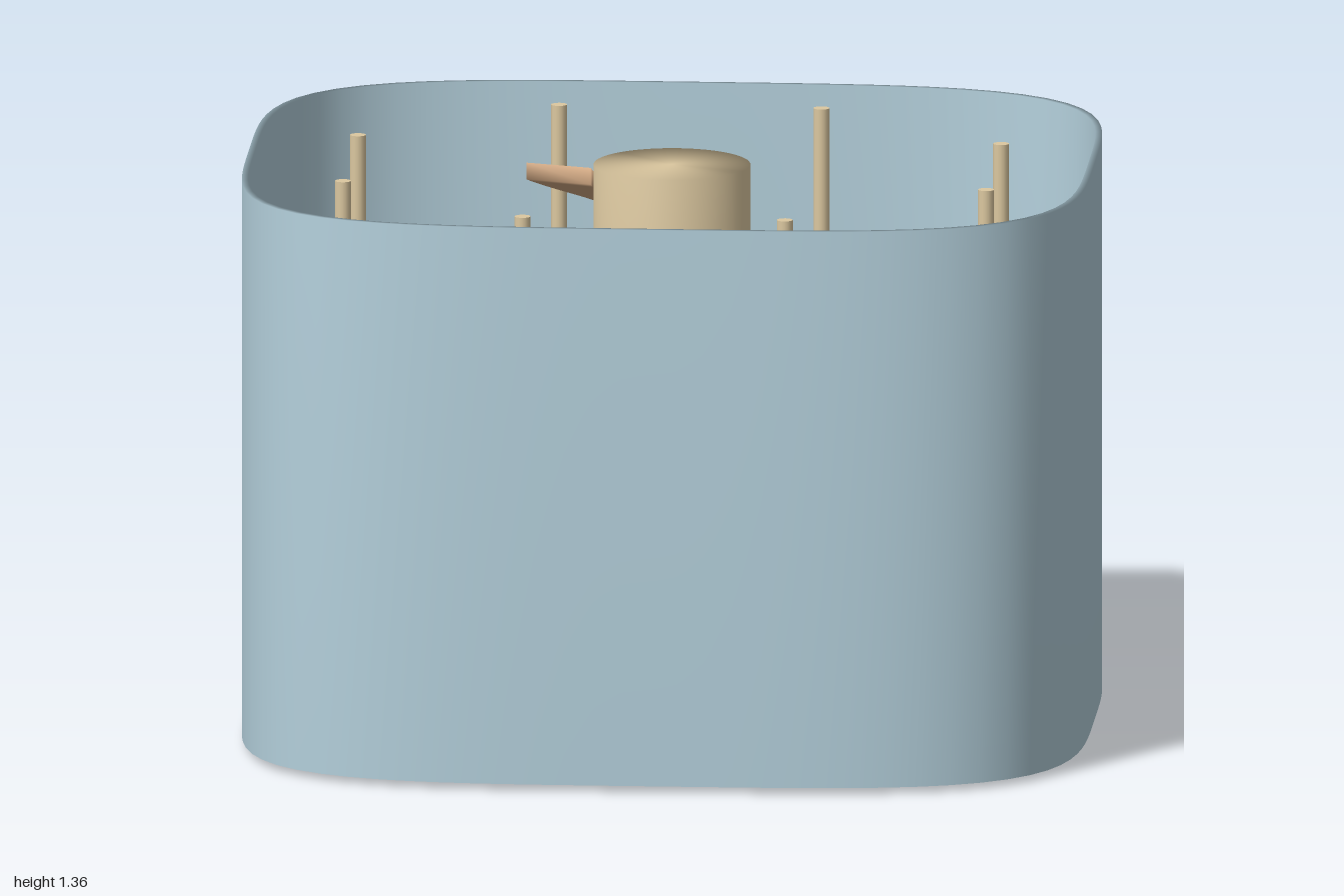
import * as THREE from 'three';

const mat = (name, color) => Object.assign(new THREE.MeshStandardMaterial({ color }), { name });

// Joins equal rows of [x, y, z] points into a smooth skin; closed rings or capped ends
function skin(rows, closed) {
  const n = rows[0].length, m = rows.length, index = [];
  for (let j = 0; j < (closed ? m : m - 1); j++) {
    for (let i = 0; i < n; i++) {
      const k = (i + 1) % n, r = j * n, s = ((j + 1) % m) * n;
      index.push(r + i, s + i, s + k, r + i, s + k, r + k);
    }
  }
  if (!closed) {
    const e = (m - 1) * n;
    index.push(0, 1, 2, 0, 2, 3, e, e + 2, e + 1, e, e + 3, e + 2);
  }
  const g = new THREE.BufferGeometry();
  g.setAttribute('position', new THREE.Float32BufferAttribute(rows.flat(2), 3));
  g.setIndex(index);
  g.computeVertexNormals();
  return g;
}

// Rounded-square ring; each profile point is [half width, half depth, height],
// listed anticlockwise from the inner bottom edge
function ring(profile, count = 96) {
  const rows = [];
  for (let j = 0; j < count; j++) {
    const t = (j / count) * Math.PI * 2, c = Math.cos(t), s = Math.sin(t);
    const r = 1 / Math.pow(c ** 4 + s ** 4, 0.25);
    rows.push(profile.map(([a, b, y]) => [a * c * r, y, -b * s * r]));
  }
  return skin(rows, true);
}

// Ring with a plain rectangular section
const band = (a0, b0, a1, b1, y0, y1) =>
  ring([[a0, b0, y0], [a1, b1, y0], [a1, b1, y1], [a0, b0, y1]]);

export function createModel() {
  const model = new THREE.Group();
  model.name = 'pavilion';
  const blue = mat('pale blue', 0xb4d0dc);
  const stone = mat('warm white', 0xdad6ce);
  const tan = mat('sand', 0xdcc8a0);
  const copper = mat('copper', 0xd3aa84);

  const add = (name, geometry, material, parent = model) => {
    const mesh = new THREE.Mesh(geometry, material);
    mesh.name = name;
    parent.add(mesh);
    return mesh;
  };

  // Thin outer wall
  add('outerShell', band(0.985, 0.84, 1, 0.855, 0.015, 1.355), blue);

  // Three floors, each with a curb round its opening and a strip near its edge
  const slabProfile = (bottom, top) => {
    const at = (t, y) => [0.39 + 0.565 * t, 0.34 + 0.48 * t, y];
    const stops = [0, 0.4, 0.85, 1];
    return [...stops.map(t => at(t, bottom)), ...stops.slice().reverse().map(t => at(t, top))];
  };
  [0.07, 0.508, 0.945].forEach((top, i) => {
    const floor = new THREE.Group();
    floor.name = 'floor' + (i + 1);
    model.add(floor);
    add('slab', ring(slabProfile(top - 0.05, top)), stone, floor);
    add('openingCurb', band(0.383, 0.333, 0.396, 0.346, top - 0.005, top + 0.085), tan, floor);
    add('edgeStrip', band(0.87, 0.74, 0.912, 0.782, top - 0.005, top + 0.02), copper, floor);
  });

  // Central core
  const core = [[0, 0], [0.185, 0], [0.185, 1.335], [0, 1.335]].map(p => new THREE.Vector2(...p));
  add('core', new THREE.LatheGeometry(core, 48), tan);

  // Spiral ramp climbing round the core
  const rows = [], turns = 1.45, steps = 140;
  for (let j = 0; j <= steps; j++) {
    const t = (j / steps) * turns * Math.PI * 2, y = 0.07 + (j / steps) * 1.2;
    rows.push([[0.207, 0], [0.37, 0], [0.37, 0.04], [0.207, 0.04]]
      .map(([r, h]) => [r * Math.cos(t), y + h, -r * Math.sin(t)]));
  }
  add('spiralRamp', skin(rows, false), copper);

  // Eight slim columns
  const columnGeometry = new THREE.CylinderGeometry(0.019, 0.019, 1.33, 16);
  for (const [x, z] of [[0.76, 0.265], [0.31, 0.645]]) {
    for (const sx of [-1, 1]) {
      for (const sz of [-1, 1]) {
        add('column', columnGeometry, tan).position.set(sx * x, 0.675, sz * z);
      }
    }
  }
  return model;
}
